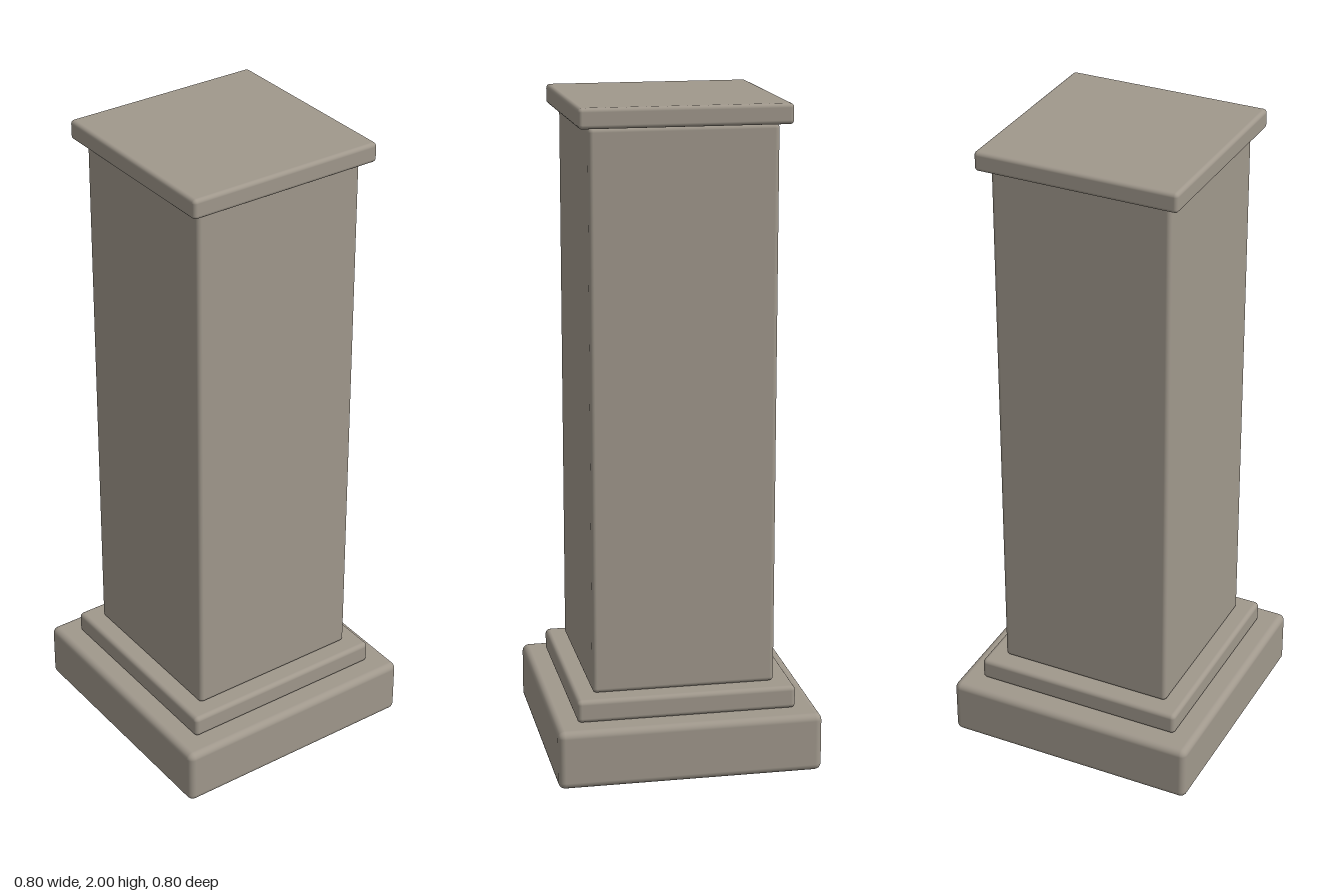
import * as THREE from 'three';
import { RoundedBoxGeometry } from 'three/addons/geometries/RoundedBoxGeometry.js';

// Square stone pillar: stacked blocks with softly rounded edges
export function createModel() {
  const model = new THREE.Group();
  model.name = 'pillar';

  const stone = new THREE.MeshStandardMaterial({ color: 0xa0988c });
  stone.name = 'warm grey stone';

  // name, width, bottom, top, edge radius
  const blocks = [
    ['plinth', 0.8, 0, 0.18, 0.021],
    ['baseStep', 0.665, 0.18, 0.25, 0.014],
    ['shaft', 0.555, 0.25, 1.94, 0.014],
    ['capital', 0.622, 1.94, 2, 0.012],
  ];

  for (const [name, width, bottom, top, radius] of blocks) {
    const geometry = new RoundedBoxGeometry(width, top - bottom, width, 3, radius);
    const block = new THREE.Mesh(geometry, stone);
    block.name = name;
    block.position.y = (bottom + top) / 2;
    model.add(block);
  }

  return model;
}
